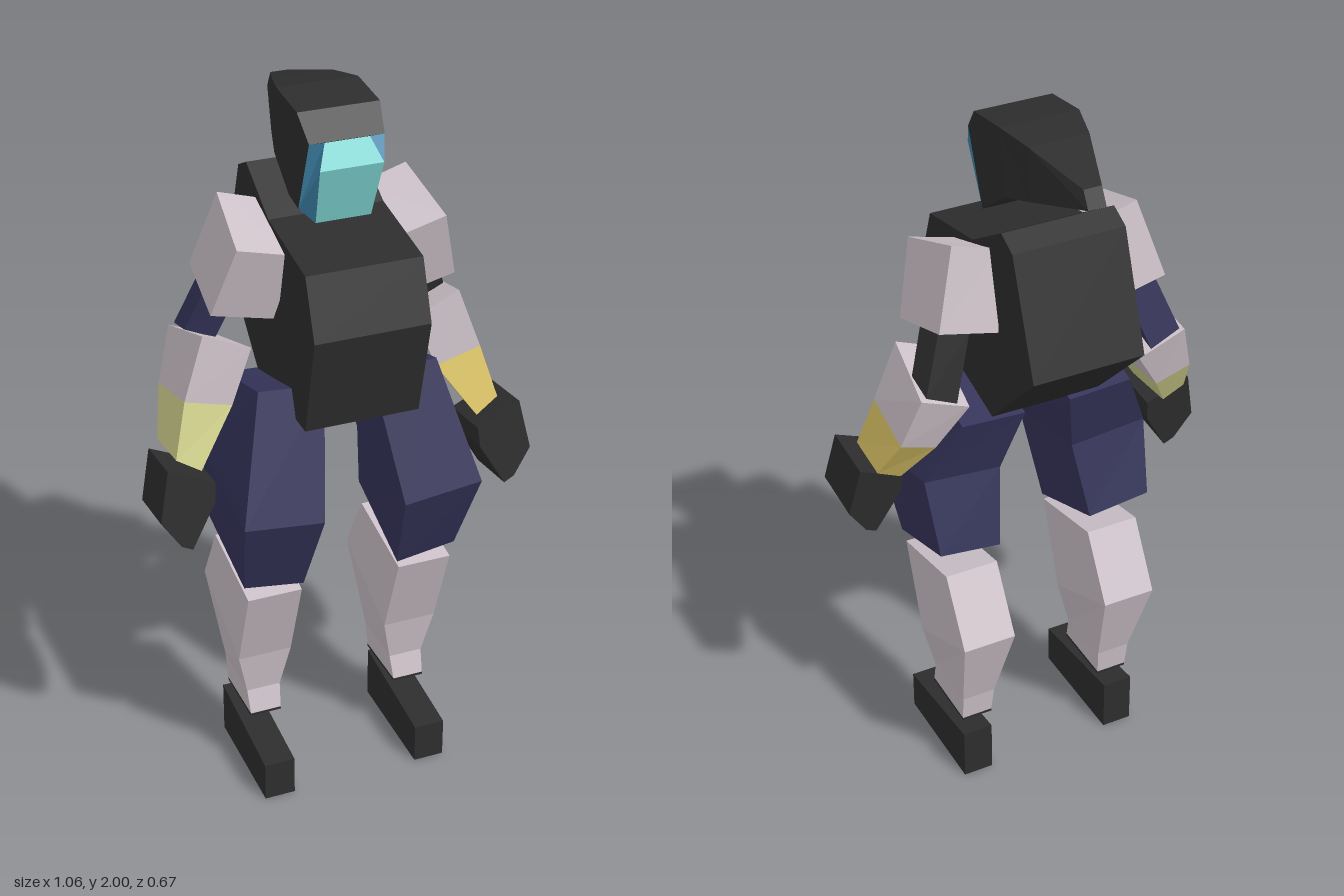
import * as THREE from 'three';

const paint = (name, color) => Object.assign(new THREE.MeshStandardMaterial({ color }), { name });
const BLACK = paint('charcoal', 0x2d2d2d);
const PALE = paint('pale mauve', 0xcbc0c7);
const NAVY = paint('navy', 0x35345a);
const YELLOW = paint('yellow', 0xdec668);
const LIME = paint('pale lime', 0xd2d28e);
const CYAN = paint('cyan', 0x80d8d5);
const BLUE = paint('blue', 0x4088ad);
const GREY = paint('grey', 0x686868);

// Flat-faced geometry from convex polygons; s = -1 mirrors across x
function facets(polys, s = 1) {
  const pos = [];
  for (const p of polys) {
    const q = p.map(([x, y, z]) => [x * s, y, z]);
    if (s < 0) q.reverse();
    for (let i = 1; i < q.length - 1; i++) pos.push(...q[0], ...q[i], ...q[i + 1]);
  }
  const g = new THREE.BufferGeometry();
  g.setAttribute('position', new THREE.Float32BufferAttribute(pos, 3));
  g.computeVertexNormals();
  return g;
}

// Skin over rings, capped at both ends (each ring runs clockwise seen from the start)
function loft(rings, s = 1) {
  const polys = [[...rings[0]].reverse(), rings[rings.length - 1]];
  for (let k = 0; k < rings.length - 1; k++) {
    const a = rings[k], b = rings[k + 1];
    a.forEach((p, i) => {
      const j = (i + 1) % a.length;
      polys.push([p, a[j], b[j], b[i]]);
    });
  }
  return facets(polys, s);
}

// Side profile of [z, y] points, extruded across x
function slab(profile, width, cx = 0) {
  const shape = new THREE.Shape(profile.map(([z, y]) => new THREE.Vector2(z, y)));
  const g = new THREE.ExtrudeGeometry(shape, { depth: width, bevelEnabled: false });
  return g.rotateY(-Math.PI / 2).translate(cx + width / 2, 0, 0);
}

function add(parent, name, geometry, material) {
  const m = new THREE.Mesh(geometry, material);
  m.name = name;
  parent.add(m);
}

function buildHead(root) {
  const head = new THREE.Group();
  head.name = 'head';
  root.add(head);

  // Swept-back helmet: [half width, top y, top z, bottom y, bottom z]
  const sections = [
    [0.1, 1.92, 0.155, 1.72, 0.08],
    [0.11, 1.985, 0.1, 1.745, 0.04],
    [0.11, 2.0, -0.04, 1.82, -0.06],
    [0.084, 1.985, -0.14, 1.842, -0.15],
    [0.025, 1.935, -0.31, 1.89, -0.335],
  ];
  add(head, 'helmet', loft(sections.map(([w, ty, tz, by, bz]) =>
    [[-w, ty, tz], [w, ty, tz], [w, by, bz], [-w, by, bz]])), BLACK);
  add(head, 'helmetUnderside', facets([
    [[0.1, 1.815, -0.062], [-0.1, 1.815, -0.062], [-0.022, 1.886, -0.335], [0.022, 1.886, -0.335]],
  ]), GREY);

  // Visor: front panes, then side cheeks
  const across = (w1, y1, z1, w2, y2, z2) => [[-w1, y1, z1], [-w2, y2, z2], [w2, y2, z2], [w1, y1, z1]];
  add(head, 'visorGlass', facets([
    across(0.06, 1.92, 0.157, 0.085, 1.86, 0.19),
    across(0.085, 1.86, 0.19, 0.075, 1.7, 0.135),
  ]), CYAN);
  const cheek = [[0.1, 1.92, 0.155], [0.06, 1.92, 0.157], [0.085, 1.86, 0.19],
    [0.075, 1.7, 0.135], [0.1, 1.72, 0.08]];
  for (const s of [1, -1]) add(head, 'visorCheek', facets([cheek], s), BLUE);
  add(head, 'visorBase', facets([across(0.075, 1.7, 0.135, 0.1, 1.72, 0.08)]), BLUE);
}

// Limb rings run: outer back, outer front, inner front, inner back
function buildArm(root, s) {
  const arm = new THREE.Group();
  arm.name = s > 0 ? 'leftArm' : 'rightArm';
  root.add(arm);

  add(arm, 'shoulder', loft([
    [[0.262, 1.73, -0.075], [0.285, 1.66, 0.135], [0.13, 1.62, 0.135], [0.13, 1.69, -0.075]],
    [[0.325, 1.52, -0.125], [0.34, 1.465, 0.08], [0.17, 1.425, 0.08], [0.16, 1.48, -0.125]],
  ], s), PALE);

  add(arm, 'elbow', loft([
    [[0.31, 1.51, -0.09], [0.31, 1.53, 0.0], [0.225, 1.5, 0.0], [0.225, 1.48, -0.09]],
    [[0.37, 1.35, -0.135], [0.37, 1.37, -0.05], [0.285, 1.33, -0.05], [0.285, 1.31, -0.135]],
  ], s), s > 0 ? BLACK : NAVY);

  const top = [[0.385, 1.345, -0.138], [0.36, 1.405, 0.07], [0.23, 1.35, 0.075], [0.25, 1.29, -0.135]];
  const mid = [[0.43, 1.2, -0.1], [0.42, 1.235, 0.088], [0.29, 1.2, 0.088], [0.33, 1.165, -0.095]];
  const wrist = [[0.465, 1.08, -0.02], [0.46, 1.09, 0.125], [0.395, 1.05, 0.135], [0.4, 1.05, -0.02]];
  add(arm, 'forearm', loft([top, mid], s), PALE);
  add(arm, 'forearmCuff', loft([mid, wrist], s), s > 0 ? YELLOW : LIME);

  // Fist, leaning forward as it drops
  const fist = [[0.5, 1.095], [0.375, 1.04], [0.38, 0.985], [0.45, 0.865], [0.48, 0.88], [0.53, 0.955]];
  const lean = (y) => 0.178 + (1.1 - y) * 0.14;
  add(arm, 'hand', loft([
    fist.map(([x, y]) => [x, y - 0.02, lean(y) - 0.165]),
    fist.map(([x, y]) => [x, y, lean(y)]),
  ], s), BLACK);
}

function buildLeg(root, s) {
  const leg = new THREE.Group();
  leg.name = s > 0 ? 'leftLeg' : 'rightLeg';
  root.add(leg);

  add(leg, 'thigh', loft([
    [[0.25, 1.2, -0.09], [0.25, 1.275, 0.175], [0.067, 1.26, 0.175], [0.067, 1.19, -0.09]],
    [[0.335, 1.01, -0.025], [0.337, 0.945, 0.298], [0.115, 0.92, 0.298], [0.11, 0.99, -0.025]],
    [[0.32, 0.8, -0.085], [0.308, 0.7, 0.2], [0.138, 0.675, 0.2], [0.14, 0.775, -0.08]],
  ], s), NAVY);

  // Shin: [inner x, outer x, front y, front z, back y, back z]
  const ring = ([xi, xo, fy, fz, by, bz]) => [[xo, by, bz], [xo, fy, fz], [xi, fy, fz], [xi, by, bz]];
  const ankle = [0.175, 0.265, 0.202, 0.11, 0.197, -0.082];
  add(leg, 'shin', loft([
    [0.143, 0.297, 0.655, 0.2, 0.708, -0.065],
    [0.143, 0.297, 0.4, 0.11, 0.52, -0.172],
    [0.17, 0.268, 0.27, 0.09, 0.275, -0.092],
    ankle,
  ].map(ring), s), PALE);
  add(leg, 'ankleSole', loft([ring(ankle), ring([0.175, 0.265, 0.194, 0.11, 0.189, -0.082])], s), BLACK);

  add(leg, 'foot', slab([[-0.105, 0], [0.245, 0], [0.245, 0.117], [-0.105, 0.155]], 0.088, s * 0.23), BLACK);
}

export function createModel() {
  const root = new THREE.Group();
  root.name = 'armouredFigure';

  add(root, 'torso', slab([
    [-0.07, 1.19], [0.27, 1.19], [0.335, 1.47], [0.275, 1.63], [0.02, 1.675],
    [-0.14, 1.77], [-0.2, 1.74], [-0.312, 1.425],
  ], 0.316), BLACK);

  buildHead(root);
  for (const s of [1, -1]) {
    buildArm(root, s);
    buildLeg(root, s);
  }
  return root;
}
